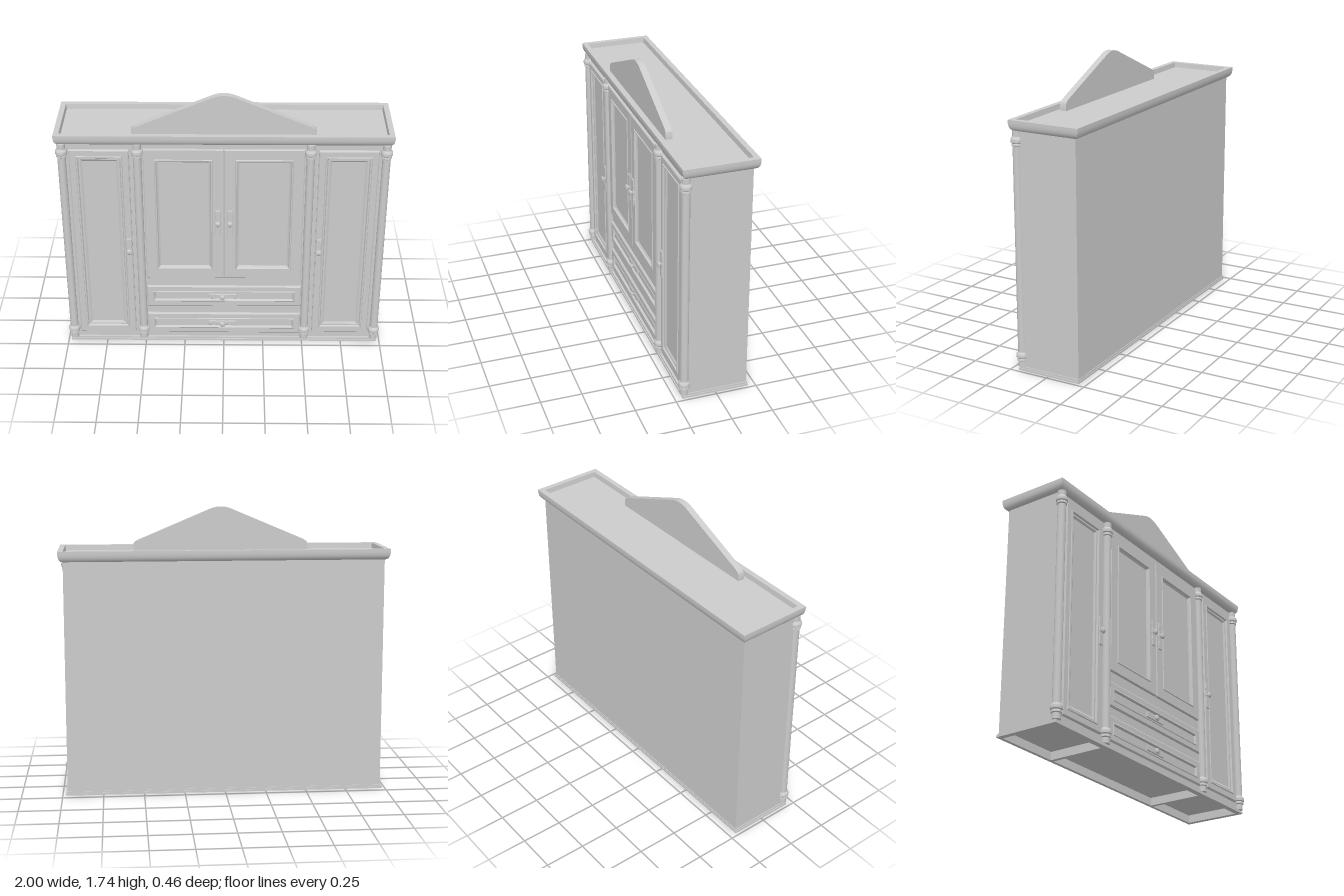
import * as THREE from 'three';
import { toCreasedNormals } from 'three/addons/utils/BufferGeometryUtils.js';

const mat = new THREE.MeshStandardMaterial({ color: 0xcccccc });

function add(parent, name, geo, x = 0, y = 0, z = 0) {
  const m = new THREE.Mesh(geo, mat);
  m.name = name;
  m.position.set(x, y, z);
  parent.add(m);
  return m;
}

// Stepped rectangular moulding: each step is [inset, z]; both ends are capped
function steppedPanel(x0, x1, y0, y1, steps, crease = 0.3) {
  const loops = steps.map(([i, z]) => [
    [x0 + i, y0 + i, z], [x1 - i, y0 + i, z], [x1 - i, y1 - i, z], [x0 + i, y1 - i, z]]);
  const pos = [];
  const quad = (a, b, c, d) => pos.push(...a, ...b, ...c, ...a, ...c, ...d);
  for (let k = 0; k + 1 < loops.length; k++) {
    for (let i = 0; i < 4; i++) {
      const j = (i + 1) % 4;
      quad(loops[k][i], loops[k][j], loops[k + 1][j], loops[k + 1][i]);
    }
  }
  const first = loops[0], last = loops[loops.length - 1];
  quad(first[3], first[2], first[1], first[0]);
  quad(last[0], last[1], last[2], last[3]);
  const g = new THREE.BufferGeometry();
  g.setAttribute('position', new THREE.Float32BufferAttribute(pos, 3));
  return toCreasedNormals(g, crease);
}

function rectPath(path, x0, x1, y0, y1) {
  return path.moveTo(x0, y0).lineTo(x1, y0).lineTo(x1, y1).lineTo(x0, y1).closePath();
}

// Waisted back plate with a turned knob, lying along y
function handle(name, x, y, z, horizontal) {
  const g = new THREE.Group();
  g.name = name;
  const s = new THREE.Shape();
  s.moveTo(-0.013, -0.086).lineTo(0.013, -0.086).lineTo(0.015, -0.045);
  s.quadraticCurveTo(0.009, -0.03, 0.016, 0).quadraticCurveTo(0.009, 0.03, 0.015, 0.045);
  s.lineTo(0.013, 0.086).lineTo(-0.013, 0.086).lineTo(-0.015, 0.045);
  s.quadraticCurveTo(-0.009, 0.03, -0.016, 0).quadraticCurveTo(-0.009, -0.03, -0.015, -0.045);
  add(g, 'handlePlate', new THREE.ExtrudeGeometry(s, {
    depth: 0.004, bevelThickness: 0.003, bevelSize: 0.003, bevelSegments: 1, curveSegments: 5 }));
  const profile = [[0.008, 0], [0.008, 0.015], [0.019, 0.018], [0.019, 0.022], [0.012, 0.028], [0, 0.03]]
    .map(p => new THREE.Vector2(...p));
  const knob = toCreasedNormals(new THREE.LatheGeometry(profile, 16).rotateX(Math.PI / 2), 0.6);
  add(g, 'handleKnob', knob);
  g.position.set(x, y, z);
  if (horizontal) g.rotation.z = Math.PI / 2;
  return g;
}

export function createModel() {
  const root = new THREE.Group();
  root.name = 'wardrobe';

  // Carcass
  add(root, 'carcass', new THREE.BoxGeometry(1.94, 1.395, 0.38), 0, 0.7475, -0.008);

  // Open base: a frame with three bays, and a thin stepped plinth lip around it
  const baseFrame = (name, hx, zBack, zFront, y, h) => {
    const s = rectPath(new THREE.Shape(), -hx, hx, -zFront, -zBack);
    for (const [a, b] of [[-0.95, -0.525], [-0.5, 0.5], [0.525, 0.95]]) {
      s.holes.push(rectPath(new THREE.Path(), a, b, -0.165, 0.185));
    }
    const g = new THREE.ExtrudeGeometry(s, { depth: h, bevelEnabled: false }).rotateX(-Math.PI / 2);
    add(root, name, g, 0, y, 0);
  };
  baseFrame('plinthLip', 0.982, -0.206, 0.203, 0, 0.012);
  baseFrame('plinthStep', 0.976, -0.202, 0.196, 0.012, 0.011);
  baseFrame('baseFrame', 0.97, -0.198, 0.182, 0.023, 0.027);

  // Cornice with a rounded underside and a sunken top
  const cornice = steppedPanel(-1, 1, -0.22, 0.228, [
    [0.028, 1.435], [0.018, 1.438], [0.01, 1.446], [0.004, 1.458], [0.001, 1.472],
    [0, 1.485], [0, 1.5], [0.032, 1.5], [0.036, 1.468]], 0.5);
  add(root, 'cornice', cornice.rotateX(-Math.PI / 2));

  // Pediment
  const p = new THREE.Shape();
  p.moveTo(-0.545, 1.468).lineTo(0.545, 1.468).lineTo(0.545, 1.502);
  p.quadraticCurveTo(0.543, 1.522, 0.515, 1.534).lineTo(0.07, 1.722);
  p.quadraticCurveTo(0, 1.752, -0.07, 1.722).lineTo(-0.515, 1.534);
  p.quadraticCurveTo(-0.543, 1.522, -0.545, 1.502);
  const pediment = new THREE.ExtrudeGeometry(p, { depth: 0.04, bevelEnabled: false, curveSegments: 10 });
  add(root, 'pediment', toCreasedNormals(pediment, 0.5), 0, 0, 0.123);

  // Turned columns with a collar near each end
  const collar = y => [[0.025, y - 0.032], [0.031, y - 0.028], [0.031, y - 0.018], [0.029, y - 0.014],
    [0.035, y - 0.008], [0.036, y + 0.006], [0.034, y + 0.014], [0.029, y + 0.02], [0.025, y + 0.026]];
  const colProfile = [[0, 0.022], [0.025, 0.022], ...collar(0.088), ...collar(1.378), [0.025, 1.436], [0, 1.436]]
    .map(q => new THREE.Vector2(...q));
  const column = toCreasedNormals(new THREE.LatheGeometry(colProfile, 24), 0.5);
  for (const x of [-0.96, -0.513, 0.513, 0.96]) add(root, 'column', column, x, 0, 0.189);

  // Doors, mirrored left and right
  const sideSteps = [[0, 0.17], [0, 0.192], [0.006, 0.198], [0.04, 0.198], [0.043, 0.203], [0.05, 0.203],
    [0.056, 0.193], [0.066, 0.193], [0.072, 0.189], [0.078, 0.185]];
  const mainSteps = [[0, 0.17], [0, 0.194], [0.004, 0.198], [0.066, 0.198], [0.069, 0.203], [0.075, 0.203],
    [0.08, 0.192], [0.09, 0.185]];
  for (const s of [-1, 1]) {
    const span = (a, b) => (s > 0 ? [a, b] : [-b, -a]);
    add(root, 'sideDoor', steppedPanel(...span(0.562, 0.918), 0.065, 1.395, sideSteps));
    add(root, 'mainDoor', steppedPanel(...span(0.002, 0.48), 0.485, 1.4, mainSteps));
    root.add(handle('sideDoorHandle', s * 0.583, 0.69, 0.198, false));
    root.add(handle('mainDoorHandle', s * 0.037, 0.895, 0.198, false));
  }

  // Drawers
  const drawerSteps = [[0, 0.17], [0, 0.188], [0.008, 0.195], [0.038, 0.195], [0.042, 0.198], [0.046, 0.198],
    [0.052, 0.184]];
  for (const y of [0.055, 0.265]) {
    add(root, 'drawer', steppedPanel(-0.486, 0.486, y, y + 0.155, drawerSteps));
    root.add(handle('drawerHandle', -0.01, y + 0.075, 0.185, true));
  }
  return root;
}
